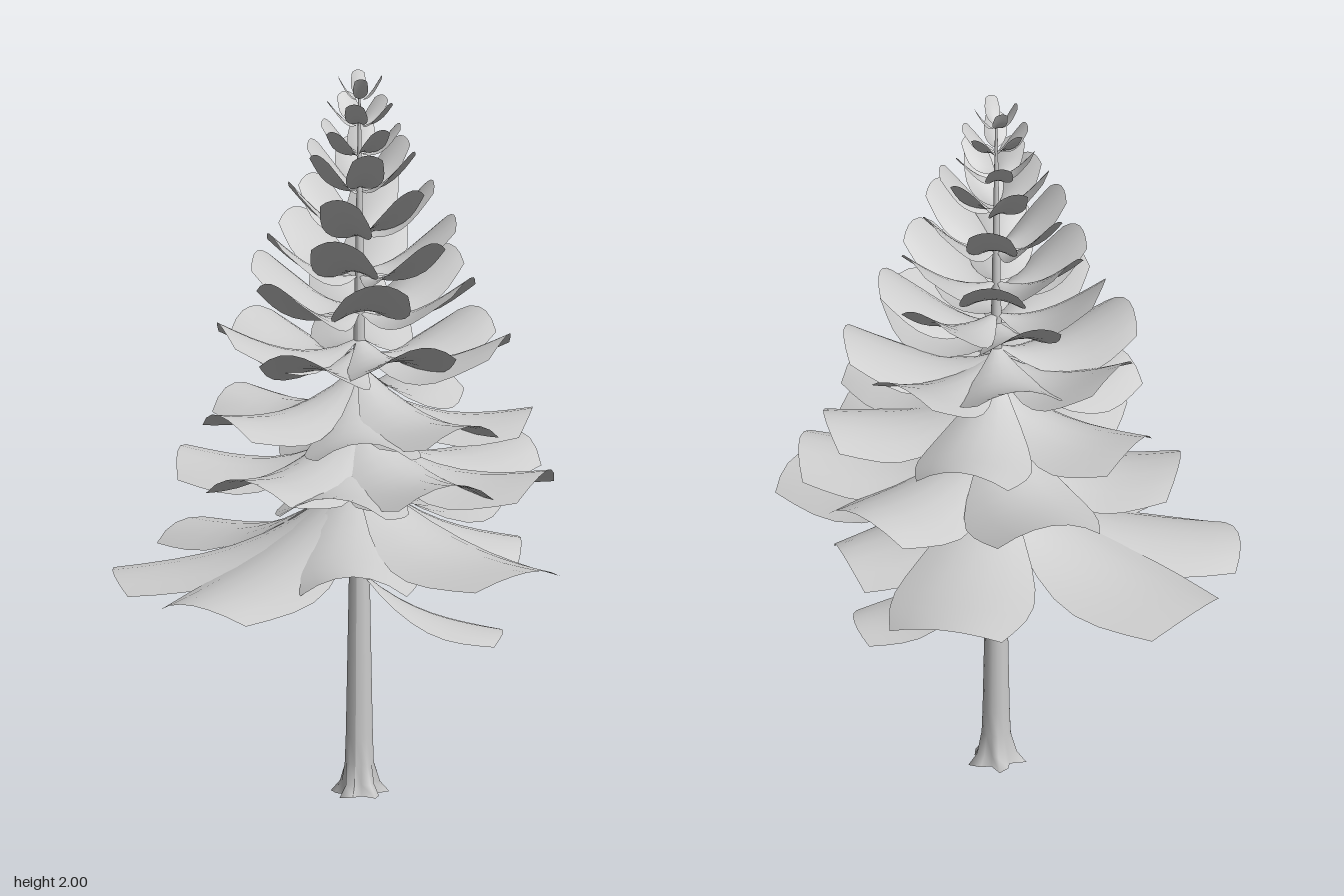
import * as THREE from 'three';

const DEG = Math.PI / 180;

const trunkMat = new THREE.MeshStandardMaterial({ color: 0xcccccc });
const frondMat = new THREE.MeshStandardMaterial({ color: 0xcccccc, side: THREE.DoubleSide });

// Arched, fan-shaped sheet growing outward along +x, with a blunt tip.
// baseY/tipY: heights at trunk and tip, sag: dip in the middle, arch: drop of the side edges
function frondGeometry({ baseY, tipY, reach, width, sag, arch }) {
  const geo = new THREE.PlaneGeometry(1, 1, 6, 8);
  const pos = geo.attributes.position;
  for (let i = 0; i < pos.count; i++) {
    const u = pos.getX(i) * 2;       // -1..1 across
    const s = pos.getY(i) + 0.5;     // 0..1 outward
    const spread = 0.1 + 0.9 * Math.sin(Math.min(1, s / 0.68) * Math.PI / 2);
    const taper = 1 - 0.2 * Math.max(0, (s - 0.68) / 0.32) ** 1.3;
    const r = 0.01 + (reach - 0.01) * s * (1 - 0.06 * u * u);
    const dip = sag * Math.sin(Math.PI * s ** 0.85);
    const y = baseY + (tipY - baseY) * s - dip - arch * u * u * spread;
    pos.setXYZ(i, r, y, -u * width / 2 * spread * taper);
  }
  geo.computeVertexNormals();
  return geo;
}

function addFrond(parent, name, azimuth, spec) {
  const mesh = new THREE.Mesh(frondGeometry(spec), frondMat);
  mesh.name = name;
  mesh.rotation.y = -azimuth * DEG;
  parent.add(mesh);
}

function addGroup(parent, name) {
  const group = new THREE.Group();
  group.name = name;
  parent.add(group);
  return group;
}

// Evenly spaced azimuths
const ring = (count, start) => Array.from({ length: count }, (_, i) => start + i * 360 / count);

// Tapered trunk whose foot flares into root lobes
function makeTrunk() {
  const profile = [];
  for (let i = 0; i <= 16; i++) {
    const y = 1.95 * (i / 16) ** 1.5;
    profile.push(new THREE.Vector2(0.003 + 0.037 * (1 - y / 1.95) + 0.024 * Math.exp(-y / 0.03), y));
  }
  const geo = new THREE.LatheGeometry(profile, 15);
  const pos = geo.attributes.position;
  for (let i = 0; i < pos.count; i++) {
    const x = pos.getX(i), y = pos.getY(i), z = pos.getZ(i);
    const k = 1 - 0.35 * Math.max(0, 1 - y / 0.08) * Math.cos(5 * Math.atan2(z, x));
    pos.setXYZ(i, x * k, y, z * k);
  }
  geo.computeVertexNormals();
  const trunk = new THREE.Mesh(geo, trunkMat);
  trunk.name = 'trunk';
  return trunk;
}

export function createModel() {
  const model = new THREE.Group();
  model.name = 'conifer';
  const tree = addGroup(model, 'tree');
  tree.position.set(0.02, 0, 0.01);
  tree.add(makeTrunk());

  // Lone drooping frond below the crown
  addFrond(tree, 'lowFrond', -15,
    { baseY: 0.61, tipY: 0.45, reach: 0.39, width: 0.27, sag: 0.04, arch: 0.02 });

  // Wide bottom skirt, drooping most on one side
  const skirt = addGroup(tree, 'bottomSkirt');
  for (const azimuth of [-83, -150, 163, 116, 31]) {
    const tipY = 0.69 - 0.07 * Math.cos((azimuth - 150) * DEG);
    addFrond(skirt, 'skirtFrond', azimuth,
      { baseY: 0.89, tipY, reach: 0.67, width: 0.39, sag: 0.075, arch: 0.04 });
  }
  // Shorter fronds filling the gaps in the skirt
  for (const azimuth of [76, -22]) {
    addFrond(skirt, 'innerFrond', azimuth,
      { baseY: 0.9, tipY: 0.7, reach: 0.44, width: 0.36, sag: 0.05, arch: 0.06 });
  }

  // Upper tiers: base height, tip height, reach, azimuths
  const tiers = [
    [1.04, 0.95, 0.52, [4, 46, 82, 112, 178, -113, -50]],
    [1.17, 1.09, 0.455, [-12, 35, 72, 132, 203, -83]],
    [1.25, 1.31, 0.4, ring(7, -2)],
    [1.35, 1.47, 0.31, ring(6, 5)],
    [1.45, 1.58, 0.26, ring(6, 28)],
    [1.56, 1.7, 0.2, ring(6, -30)],
    [1.68, 1.8, 0.15, ring(6, 5)],
    [1.78, 1.86, 0.11, ring(5, -30)],
    [1.86, 1.93, 0.09, ring(5, 10)],
    [1.93, 1.995, 0.06, ring(4, -20)],
  ];
  tiers.forEach(([baseY, tipY, reach, azimuths], t) => {
    const tier = addGroup(tree, `tier${t + 1}`);
    azimuths.forEach((azimuth, i) => {
      const lift = (i % 2 - 0.5) * Math.min(0.025, reach * 0.08); // stagger heights
      const grown = reach * (1 + 0.04 * Math.cos((azimuth - 20) * DEG)); // longer on one side
      addFrond(tier, 'frond', azimuth, {
        baseY: baseY + lift, tipY: tipY + lift, reach: grown,
        width: reach * 0.7, sag: reach * 0.13, arch: reach * 0.12,
      });
    });
  });
  return model;
}
